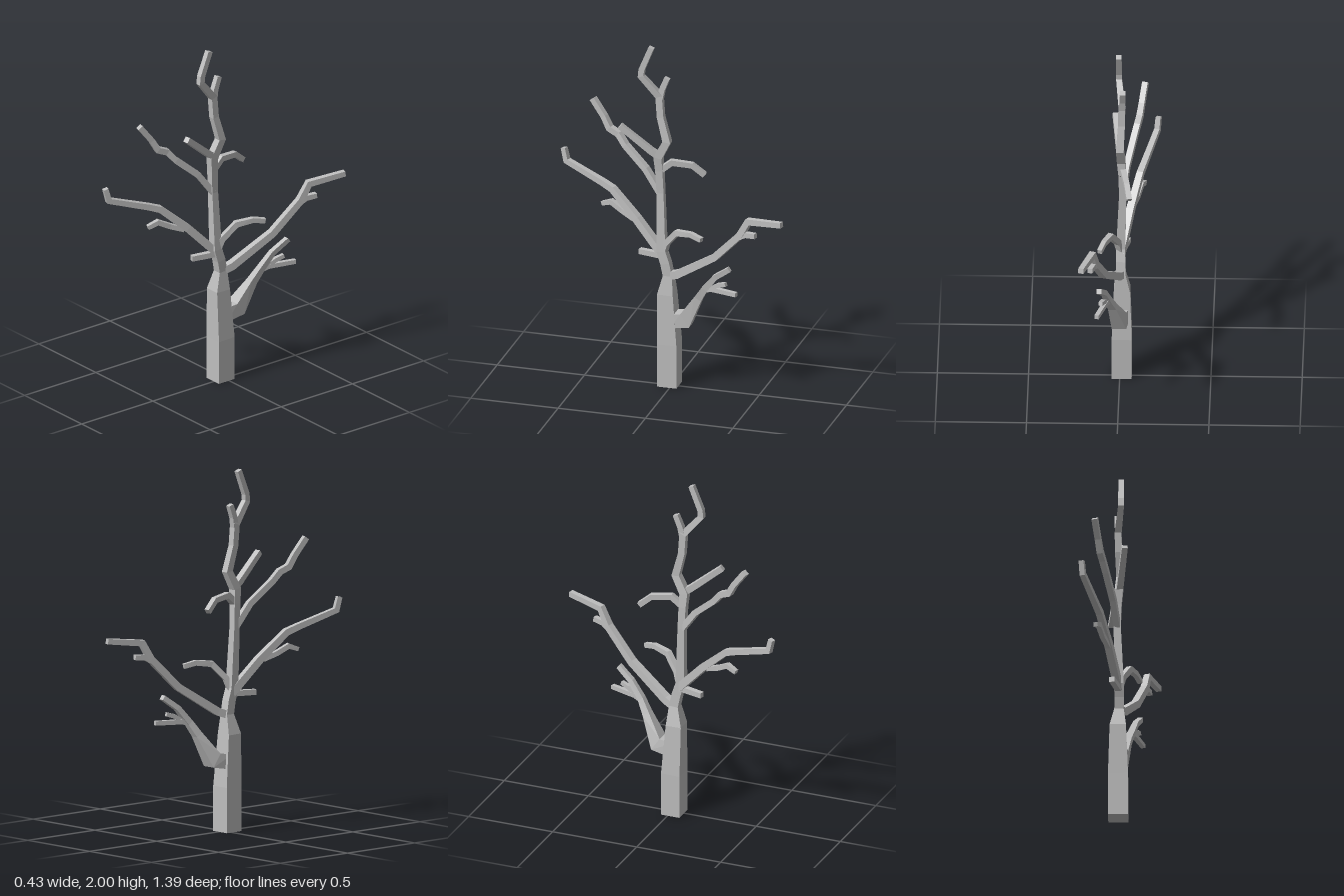
import * as THREE from 'three';

const bark = new THREE.MeshStandardMaterial({ color: 0xbebebe });
bark.name = 'greyBark';

// Square-section limb lofted along points [x, y, z, halfWidth], mitred at each bend.
function limb(name, rows, sideAxis) {
  const pts = rows.map(([x, y, z]) => new THREE.Vector3(x, y, z));
  const last = pts.length - 1;
  const reach = pts[last].clone().sub(pts[0]);
  const side = sideAxis || new THREE.Vector3(reach.z, 0, -reach.x).normalize();
  const pos = [], idx = [];
  pts.forEach((p, i) => {
    const before = p.clone().sub(pts[Math.max(i - 1, 0)]).normalize();
    const after = pts[Math.min(i + 1, last)].clone().sub(p).normalize();
    const tangent = before.clone().add(after).normalize();
    const mitre = i > 0 && i < last ? 1 / Math.max(tangent.dot(after), 0.75) : 1;
    const up = new THREE.Vector3().crossVectors(tangent, side).normalize();
    const r = rows[i][3];
    for (const [a, b] of [[-1, -1], [1, -1], [1, 1], [-1, 1]]) {
      const v = p.clone().addScaledVector(side, a * r).addScaledVector(up, b * r * mitre);
      pos.push(v.x, v.y, v.z);
    }
  });
  // corners run counter-clockwise about the direction of growth
  for (let i = 0; i < last; i++) {
    for (let k = 0; k < 4; k++) {
      const a = i * 4 + k, b = i * 4 + (k + 1) % 4;
      idx.push(a, b, a + 4, b, b + 4, a + 4);
    }
  }
  const e = last * 4;
  idx.push(0, 2, 1, 0, 3, 2, e, e + 1, e + 2, e, e + 2, e + 3);
  const indexed = new THREE.BufferGeometry();
  indexed.setAttribute('position', new THREE.Float32BufferAttribute(pos, 3));
  indexed.setIndex(idx);
  const geo = indexed.toNonIndexed(); // one normal per face
  geo.computeVertexNormals();
  const mesh = new THREE.Mesh(geo, bark);
  mesh.name = name;
  return mesh;
}

export function createModel() {
  const tree = new THREE.Group();
  tree.name = 'bareTree';
  const X = new THREE.Vector3(1, 0, 0);
  const add = (name, rows, axis) => tree.add(limb(name, rows, axis));

  // Trunk and leader
  add('trunk', [[-0.011, 0, 0.016, 0.055], [-0.011, 0.25, 0.016, 0.055], [-0.012, 0.54, 0.03, 0.045],
    [-0.006, 0.65, 0.02, 0.026], [-0.004, 0.72, 0.034, 0.026], [-0.004, 0.79, 0.056, 0.025],
    [-0.015, 1.13, 0.066, 0.02], [-0.012, 1.26, 0.072, 0.021], [-0.006, 1.34, 0.078, 0.023],
    [0, 1.44, 0.026, 0.021], [-0.008, 1.58, 0.064, 0.019], [-0.01, 1.7, 0.073, 0.019],
    [0.008, 1.815, 0.172, 0.016], [0.008, 1.855, 0.168, 0.016], [0.008, 1.99, 0.113, 0.015]], X);
  add('topTwig', [[-0.01, 1.68, 0.07, 0.017], [-0.013, 1.74, 0.058, 0.016], [-0.015, 1.81, 0.03, 0.015]], X);

  // Upper branches
  add('upperFrontBranch', [[-0.005, 1.345, 0.07, 0.018], [0.003, 1.375, 0.115, 0.018], [0.03, 1.515, 0.287, 0.016]]);
  add('upperBackBranch', [[-0.012, 1.265, 0.065, 0.017], [-0.02, 1.312, 0.005, 0.016],
    [-0.04, 1.3, -0.105, 0.015], [-0.055, 1.245, -0.172, 0.015]]);
  add('highFrontBranch', [[-0.015, 1.13, 0.07, 0.018], [-0.035, 1.25, 0.158, 0.017], [-0.072, 1.36, 0.285, 0.017],
    [-0.09, 1.415, 0.33, 0.017], [-0.102, 1.438, 0.385, 0.017], [-0.113, 1.5, 0.42, 0.016], [-0.13, 1.592, 0.49, 0.016]]);

  // Long front branch with its twig and stub
  add('longFrontBranch', [[-0.005, 0.76, 0.045, 0.022], [-0.055, 0.94, 0.215, 0.021], [-0.105, 1.078, 0.368, 0.018],
    [-0.125, 1.102, 0.43, 0.017], [-0.192, 1.178, 0.658, 0.015], [-0.198, 1.25, 0.676, 0.014]]);
  add('longFrontTwig', [[-0.06, 0.935, 0.235, 0.013], [-0.09, 0.965, 0.31, 0.014],
    [-0.11, 1.0, 0.378, 0.014], [-0.127, 0.978, 0.435, 0.012]]);
  add('frontStub', [[-0.005, 0.76, 0.05, 0.016], [-0.042, 0.757, 0.195, 0.015]]);

  // Middle back branch
  add('middleBackBranch', [[-0.004, 0.77, 0.05, 0.016], [0.012, 0.845, 0.025, 0.016], [0.05, 0.928, -0.045, 0.016],
    [0.083, 0.94, -0.135, 0.014], [0.106, 0.925, -0.202, 0.013]]);

  // Long back branch with its twig
  add('longBackBranch', [[-0.008, 0.645, 0.02, 0.022], [0.012, 0.668, -0.04, 0.022], [0.08, 0.822, -0.272, 0.02],
    [0.126, 0.99, -0.432, 0.019], [0.14, 1.082, -0.482, 0.017], [0.198, 1.107, -0.688, 0.015]]);
  add('longBackTwig', [[0.12, 0.97, -0.415, 0.015], [0.135, 1.0, -0.465, 0.015], [0.152, 1.005, -0.525, 0.014]]);

  // Low back branch, thick where it leaves the trunk, forking in three
  add('lowBackBranch', [[-0.008, 0.39, 0.01, 0.042], [0.002, 0.405, -0.085, 0.04], [0.038, 0.55, -0.165, 0.022],
    [0.06, 0.62, -0.208, 0.018], [0.08, 0.705, -0.275, 0.015], [0.105, 0.77, -0.362, 0.014]], X);
  add('lowForkOuter', [[0.058, 0.612, -0.205, 0.014], [0.07, 0.627, -0.25, 0.013], [0.118, 0.63, -0.405, 0.012]]);
  add('lowForkInner', [[0.068, 0.627, -0.24, 0.011], [0.085, 0.66, -0.292, 0.012], [0.098, 0.675, -0.34, 0.011]]);

  return tree;
}
